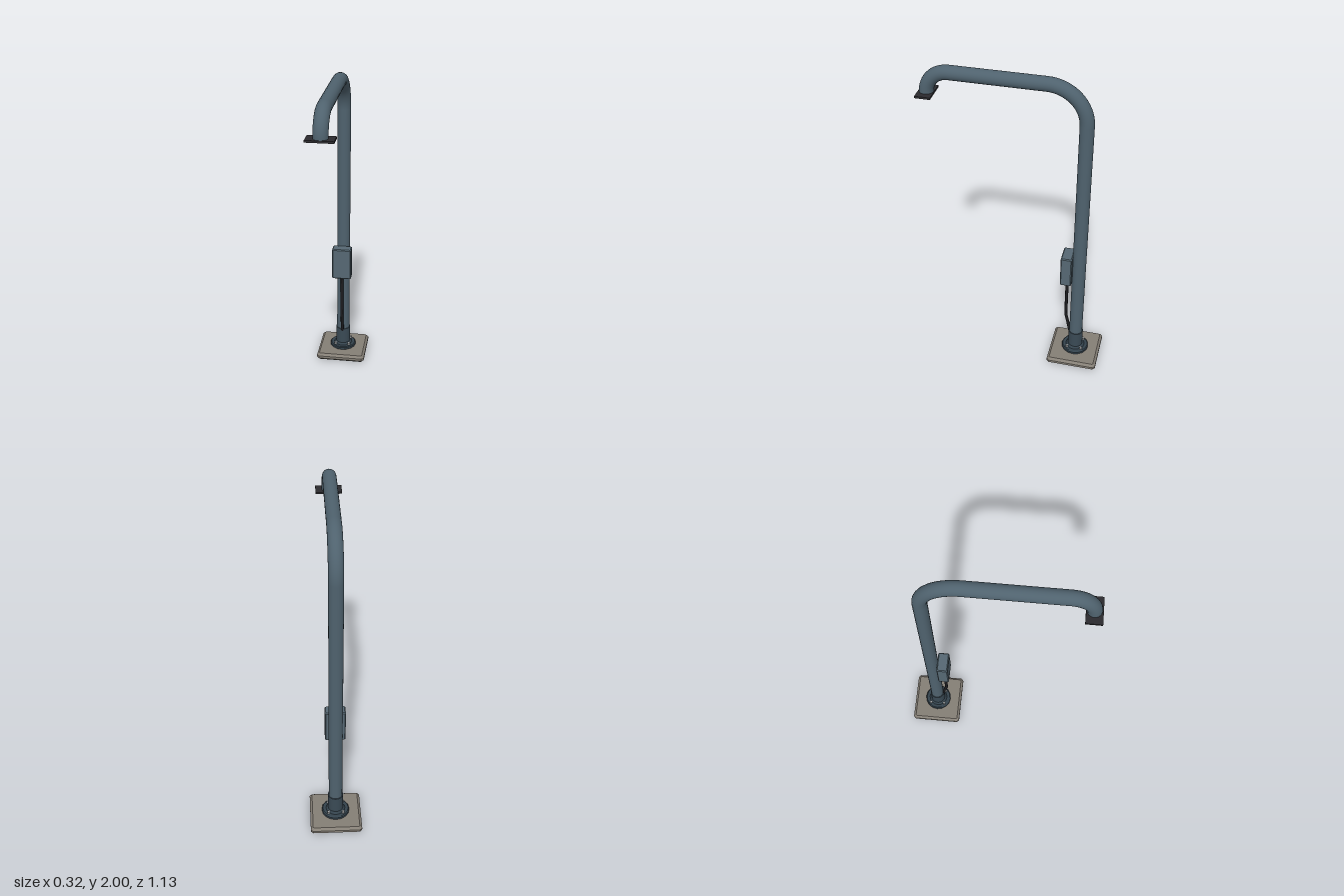
import * as THREE from 'three';

const POST_Z = -0.404;
const mat = (color) => new THREE.MeshStandardMaterial({ color });
const steel = mat(0x4f626e), darkSteel = mat(0x3a4a55), boxPaint = mat(0x566873);
const concrete = mat(0x857f76), black = mat(0x1c1c1f), plateDark = mat(0x2b2a2e), boltGrey = mat(0xa0a4a6);

function add(parent, name, geometry, material, x = 0, y = 0, z = 0) {
  const mesh = new THREE.Mesh(geometry, material);
  mesh.name = name;
  mesh.position.set(x, y, z);
  parent.add(mesh);
  return mesh;
}

// Box with chamfered edges, centred on its origin
function chamferBox(w, h, d, c) {
  const a = w / 2 - c, b = d / 2 - c;
  const shape = new THREE.Shape([[-a, -b], [a, -b], [a, b], [-a, b]].map(p => new THREE.Vector2(...p)));
  // Cut the corners so the vertical edges are chamfered as well
  const k = c * 0.4;
  shape.curves = [];
  shape.moveTo(-a + k, -b).lineTo(a - k, -b).lineTo(a, -b + k).lineTo(a, b - k)
    .lineTo(a - k, b).lineTo(-a + k, b).lineTo(-a, b - k).lineTo(-a, -b + k).closePath();
  const g = new THREE.ExtrudeGeometry(shape, {
    depth: h - 2 * c, bevelEnabled: true, bevelSize: c, bevelThickness: c, bevelSegments: 1,
  });
  g.translate(0, 0, -(h - 2 * c) / 2);
  g.rotateX(-Math.PI / 2);
  return g;
}

// Quarter-circle path in the YZ plane
class Bend extends THREE.Curve {
  constructor(y, z, r, from, to) { super(); Object.assign(this, { y, z, r, from, to }); }
  getPoint(t, out = new THREE.Vector3()) {
    const a = this.from + (this.to - this.from) * t;
    return out.set(0, this.y + this.r * Math.sin(a), this.z + this.r * Math.cos(a));
  }
}

export function createModel() {
  const model = new THREE.Group();
  model.name = 'curvedPost';

  // Footing slab
  add(model, 'footing', chamferBox(0.32, 0.046, 0.32, 0.015), concrete, 0, 0.025, POST_Z);
  add(model, 'footingUnderside', new THREE.BoxGeometry(0.285, 0.008, 0.285), black, 0, 0.004, POST_Z);

  // Flange, sleeve and bolts
  const profile = [[0, 0.048], [0.08, 0.048], [0.086, 0.053], [0.086, 0.066], [0.08, 0.071], [0.06, 0.071],
    [0.054, 0.08], [0.045, 0.085]].map(p => new THREE.Vector2(...p));
  const flangeMat = mat(0x34434d);
  flangeMat.flatShading = true;
  add(model, 'flange', new THREE.LatheGeometry(profile, 16), flangeMat, 0, 0, POST_Z);
  add(model, 'sleeve', new THREE.CylinderGeometry(0.047, 0.047, 0.13, 24), darkSteel, 0, 0.127, POST_Z);
  for (const sx of [-1, 1]) for (const sz of [-1, 1])
    add(model, 'bolt', new THREE.CylinderGeometry(0.009, 0.009, 0.016, 6), boltGrey,
      sx * 0.046, 0.078, POST_Z + sz * 0.046);

  // Bent pipe: post, rear bend, arm, front bend
  const R = 0.042, top = 1.958, rear = 0.23, front = 0.13, tipZ = 0.516;
  const rearZ = POST_Z + rear, frontZ = tipZ - front;
  const pipe = new THREE.Group();
  pipe.name = 'pipe';
  model.add(pipe);
  const postH = top - rear - 0.07;
  add(pipe, 'post', new THREE.CylinderGeometry(R, R, postH, 24, 1, true), steel, 0, 0.07 + postH / 2, POST_Z);
  add(pipe, 'rearBend', new THREE.TubeGeometry(new Bend(top - rear, rearZ, rear, Math.PI, Math.PI / 2), 16, R, 24), steel);
  const arm = add(pipe, 'arm', new THREE.CylinderGeometry(R, R, frontZ - rearZ, 24, 1, true), steel, 0, top, (frontZ + rearZ) / 2);
  arm.rotation.x = Math.PI / 2;
  add(pipe, 'frontBend', new THREE.TubeGeometry(new Bend(top - front, frontZ, front, Math.PI / 2, 0), 14, R, 24), steel);

  // Plate at the mouth of the pipe
  add(model, 'mouthPlate', new THREE.BoxGeometry(0.158, 0.012, 0.092), plateDark, 0, 1.823, tipZ + 0.001);

  // Control box and its cable
  add(model, 'controlBox', chamferBox(0.124, 0.21, 0.07, 0.006), boxPaint, 0, 0.71, -0.331);
  const cable = new THREE.CurvePath();
  const pts = [[0.62, -0.333], [0.32, -0.333], [0.18, -0.364]].map(([y, z]) => new THREE.Vector3(0, y, z));
  cable.add(new THREE.LineCurve3(pts[0], pts[1]));
  cable.add(new THREE.LineCurve3(pts[1], pts[2]));
  add(model, 'cable', new THREE.TubeGeometry(cable, 24, 0.01, 8), black);

  return model;
}
